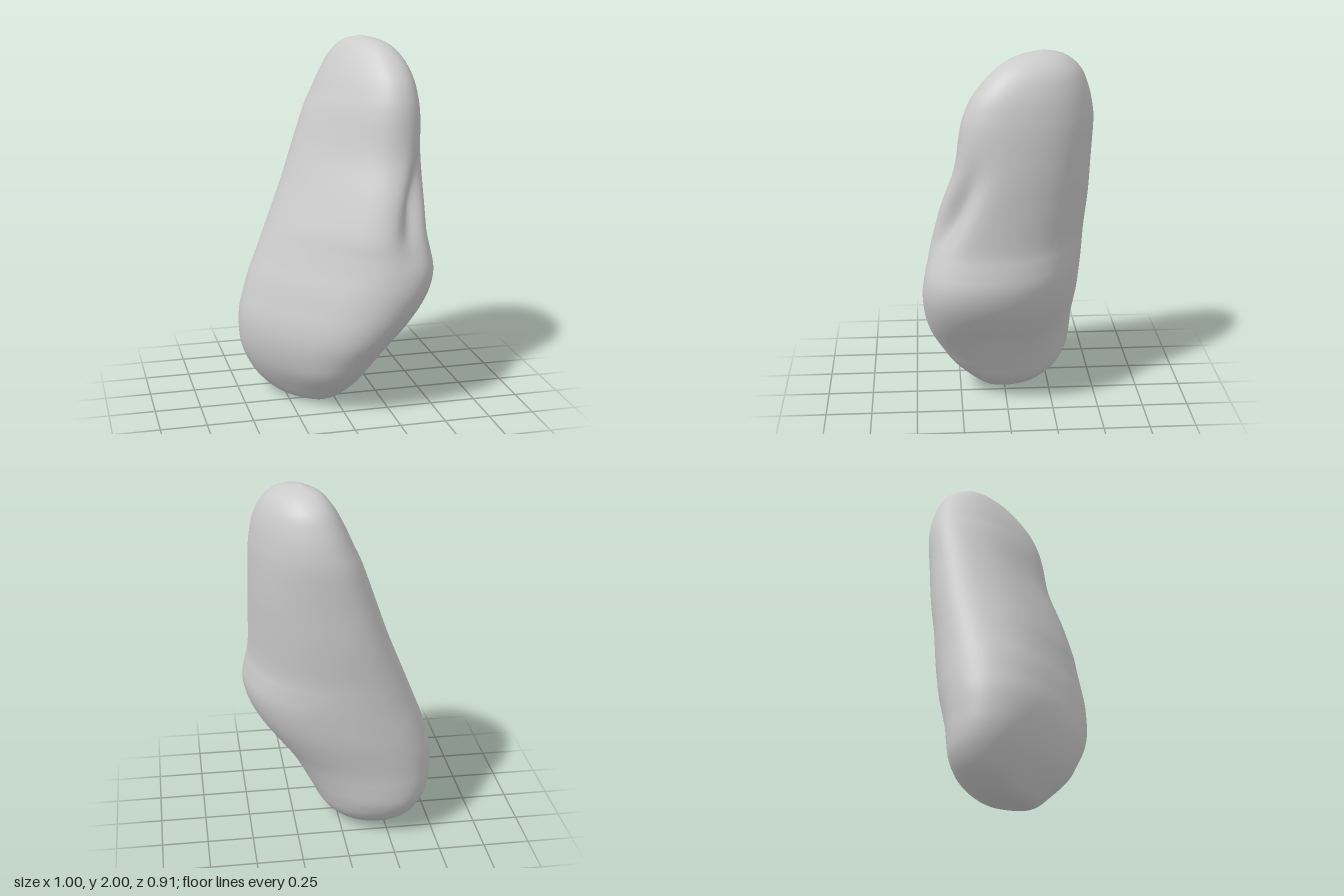
import * as THREE from 'three';

// Cross-section limits going up: y, xMin, xMax, zMin, zMax
const SECTIONS = [
  [0, -0.15, -0.15, -0.04, -0.04],
  [0.02, -0.28, -0.01, -0.19, 0.1],
  [0.1, -0.39, 0.09, -0.31, 0.2],
  [0.2, -0.455, 0.15, -0.37, 0.3],
  [0.3, -0.49, 0.21, -0.385, 0.36],
  [0.4, -0.5, 0.28, -0.39, 0.41],
  [0.5, -0.495, 0.36, -0.4, 0.44],
  [0.6, -0.47, 0.43, -0.41, 0.455],
  [0.7, -0.44, 0.48, -0.415, 0.46],
  [0.8, -0.4, 0.5, -0.42, 0.45],
  [0.9, -0.36, 0.485, -0.425, 0.43],
  [1.0, -0.32, 0.467, -0.43, 0.41],
  [1.2, -0.24, 0.465, -0.445, 0.355],
  [1.4, -0.17, 0.465, -0.45, 0.285],
  [1.6, -0.1, 0.46, -0.455, 0.255],
  [1.7, -0.055, 0.45, -0.445, 0.23],
  [1.8, -0.01, 0.43, -0.42, 0.18],
  [1.9, 0.045, 0.385, -0.375, 0.09],
  [1.97, 0.11, 0.31, -0.29, -0.02],
  [2, 0.2, 0.2, -0.17, -0.17],
];

// Shear that stretches every elliptical section along the x = z diagonal
const SKEW = Math.asin(0.41);

// Both broad faces lean towards +x -z: one is flattened, the other bulges
const FACE_ANGLE = -Math.PI / 4 - SKEW / 2;
const FACE_SHIFT = 0.085;

// Soft hollows: angle, height, angular spread, height spread, depth, angle change per height
const HOLLOWS = [
  [0.64, 1.17, 0.28, 0.22, 0.18, -0.8], // groove above the side bulge
  [-0.15, 0.43, 0.3, 0.1, 0.05, 0],     // crease under the side bulge
];

function hollowScale(angle, y) {
  let scale = 1;
  for (const [a, h, da, dh, depth, tilt] of HOLLOWS) {
    const offset = angle - a - tilt * (y - h);
    const turn = Math.atan2(Math.sin(offset), Math.cos(offset));
    scale -= depth * Math.exp(-((turn / da) ** 2) - ((y - h) / dh) ** 2);
  }
  return scale;
}

function boulderGeometry(rings = 76, sides = 72) {
  const curve = (pick) => new THREE.CatmullRomCurve3(SECTIONS.map(pick), false, 'catmullrom', 0.5);
  const low = curve(([y, x0, , z0]) => new THREE.Vector3(x0, y, z0));
  const high = curve(([y, , x1, , z1]) => new THREE.Vector3(x1, y, z1));
  const positions = [];
  const index = [];

  for (let i = 0; i <= rings; i++) {
    const lo = low.getPoint(i / rings);
    const hi = high.getPoint(i / rings);
    const centre = lo.clone().add(hi).multiplyScalar(0.5);
    const half = hi.clone().sub(lo).multiplyScalar(0.5);
    for (let j = 0; j < sides; j++) {
      const angle = (j / sides) * Math.PI * 2;
      const k = hollowScale(angle, centre.y);
      const shift = FACE_SHIFT * half.x * Math.cos(angle - FACE_ANGLE) ** 4;
      positions.push(
        centre.x + k * half.x * Math.cos(angle) + shift,
        centre.y,
        centre.z + k * half.z * Math.sin(angle + SKEW) - shift,
      );
      if (i < rings) {
        const a = i * sides + j;
        const b = i * sides + ((j + 1) % sides);
        index.push(a, a + sides, b, b, a + sides, b + sides);
      }
    }
  }

  const geometry = new THREE.BufferGeometry();
  geometry.setAttribute('position', new THREE.Float32BufferAttribute(positions, 3));
  geometry.setIndex(index);
  geometry.computeVertexNormals();
  return geometry;
}

export function createModel() {
  const group = new THREE.Group();
  group.name = 'boulder';
  const material = new THREE.MeshStandardMaterial({ color: 0xcccccc });
  const body = new THREE.Mesh(boulderGeometry(), material);
  body.name = 'boulderBody';
  group.add(body);
  return group;
}
